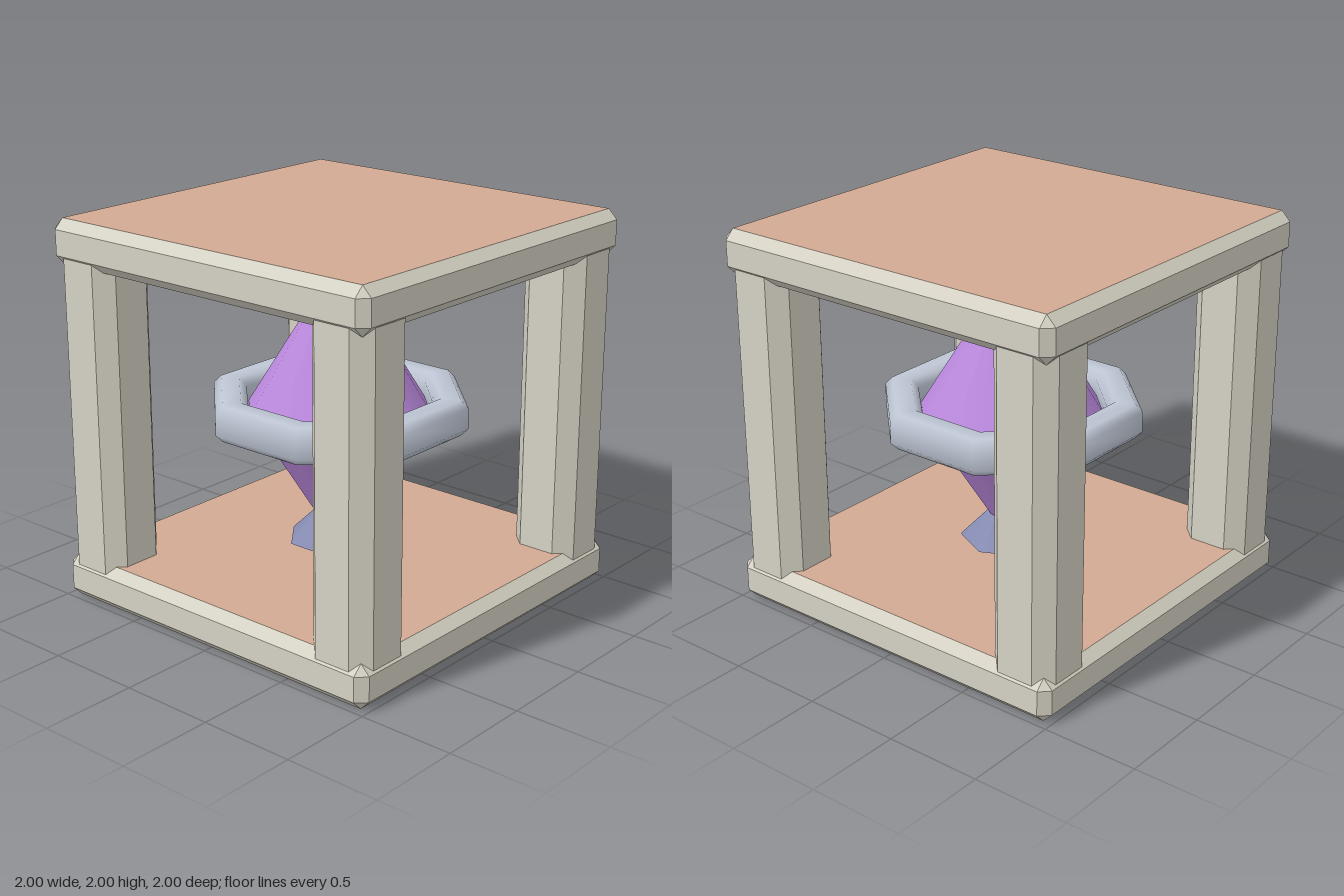
import * as THREE from 'three';
import { ConvexGeometry } from 'three/addons/geometries/ConvexGeometry.js';

const mat = (name, color, extra = {}) => {
  const m = new THREE.MeshStandardMaterial({ color, ...extra });
  m.name = name;
  return m;
};

// Square of half-size h with corners cut by c, at height y
const cutSquare = (h, c, y) => {
  const points = [];
  for (const a of [-1, 1]) for (const b of [-1, 1]) {
    points.push(new THREE.Vector3(a * h, y, b * (h - c)), new THREE.Vector3(a * (h - c), y, b * h));
  }
  return points;
};

// Chamfered slab; horizontal faces take material 1, the rest material 0
function slabGeometry() {
  const h = 0.115, c = 0.05, points = [];
  for (const s of [-1, 1]) {
    points.push(...cutSquare(1, c, s * (h - c)));
    for (const a of [-1, 1]) for (const b of [-1, 1]) {
      points.push(new THREE.Vector3(a * (1 - c), s * h, b * (1 - c)));
    }
  }
  const geometry = new ConvexGeometry(points);
  const normals = geometry.attributes.normal;
  for (let i = 0; i < normals.count; i += 3) {
    geometry.addGroup(i, 3, Math.abs(normals.getY(i)) > 0.99 ? 1 : 0);
  }
  return geometry;
}

export function createModel() {
  const group = new THREE.Group();
  const stone = mat('stone', 0xd5d2c4);
  const clay = mat('clay', 0xd2aa92);
  const steel = mat('steel', 0xbec6d4);
  const purple = mat('purple', 0xba88dc);
  const slate = mat('slate', 0x868bb2);

  const add = (name, geometry, material, x = 0, y = 0, z = 0) => {
    const mesh = new THREE.Mesh(geometry, material);
    mesh.name = name;
    mesh.position.set(x, y, z);
    group.add(mesh);
    return mesh;
  };

  // Base and roof slabs
  const slab = slabGeometry();
  add('baseSlab', slab, [stone, clay], 0, 0.115, 0);
  add('roofSlab', slab, [stone, clay], 0, 1.885, 0);

  // Four corner pillars, sunk into the slabs
  const pillar = new ConvexGeometry([...cutSquare(0.18, 0.08, -0.88), ...cutSquare(0.18, 0.08, 0.88)]);
  for (const x of [-0.81, 0.81]) for (const z of [-0.81, 0.81]) add('pillar', pillar, stone, x, 1, z);

  // Double-cone core and its two collars, mirrored about the middle
  const cone = new THREE.ConeGeometry(0.47, 0.77, 12);
  const collar = new THREE.CylinderGeometry(0.267, 0.002, 0.262, 7, 1, false, Math.PI / 2);
  const lowerCollar = new THREE.CylinderGeometry(0.002, 0.267, 0.262, 7, 1, false, Math.PI / 2);
  add('upperCore', cone, purple, 0, 1.385, 0);
  add('lowerCore', cone, purple, 0, 0.615, 0).rotation.x = Math.PI;
  add('upperCollar', collar, slate, 0, 1.596, 0);
  add('lowerCollar', lowerCollar, slate, 0, 0.414, 0);

  // Eight-sided ring around the core
  const w = 0.09, h = 0.094, c = 0.04, r = 0.59;
  const profile = [
    [-w, 0], [-w, -h + c], [-w + c, -h], [w - c, -h], [w, -h + c],
    [w, h - c], [w - c, h], [-w + c, h], [-w, h - c], [-w, 0],
  ].map(([x, y]) => new THREE.Vector2(r + x, y));
  add('ring', new THREE.LatheGeometry(profile, 8, Math.PI / 8), steel, 0, 1.003, 0);

  return group;
}
